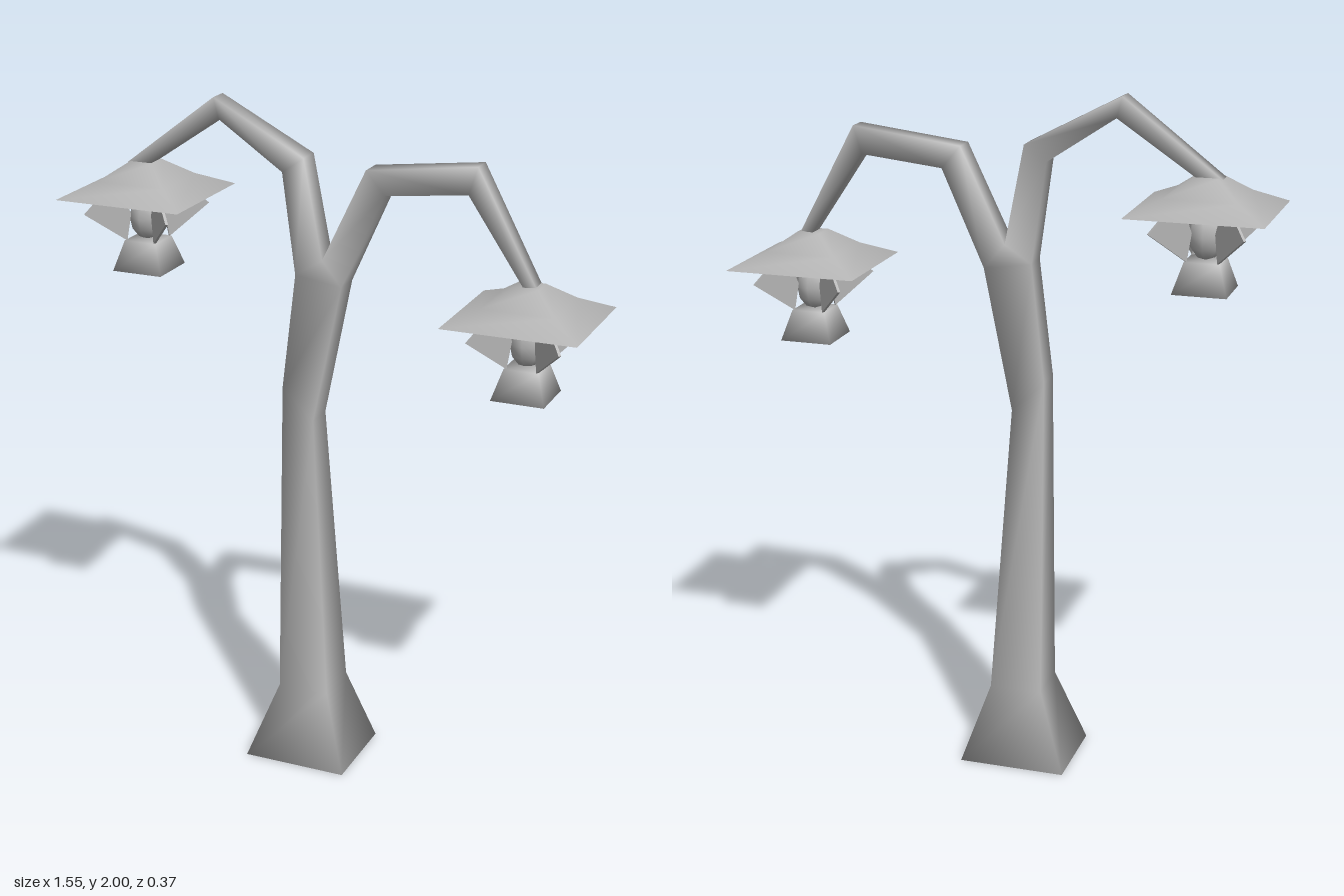
import * as THREE from 'three';

const grey = new THREE.MeshStandardMaterial({ color: 0xb4b4b4, side: THREE.DoubleSide });
grey.name = 'grey metal';

// Collects front/back vertex pairs and skins four-sided sections with shared, smooth vertices.
function skin() {
  const positions = [], index = [];
  const quad = (a, b, c, d) => index.push(a, b, c, a, c, d);
  return {
    index,
    pair(x, y, hz) {
      const i = positions.length / 3;
      positions.push(x, y, hz, x, y, -hz);
      return [i, i + 1];
    },
    ring(xl, yl, xr, yr, hz) {
      return [this.pair(xl, yl, hz), this.pair(xr, yr, hz)];
    },
    join(low, high) {
      const [[a, b], [c, d]] = low, [[e, f], [g, h]] = high;
      quad(a, c, g, e);
      quad(c, d, h, g);
      quad(d, b, f, h);
      quad(b, a, e, f);
    },
    chain(rings) {
      for (let i = 1; i < rings.length; i++) this.join(rings[i - 1], rings[i]);
    },
    capTop([[a, b], [c, d]]) { quad(a, c, d, b); },
    capBottom([[a, b], [c, d]]) { quad(a, b, d, c); },
    geometry() {
      const g = new THREE.BufferGeometry();
      g.setAttribute('position', new THREE.Float32BufferAttribute(positions, 3));
      g.setIndex(index);
      g.computeVertexNormals();
      return g;
    }
  };
}

function mesh(name, geometry) {
  const m = new THREE.Mesh(geometry, grey);
  m.name = name;
  return m;
}

// Flared foot, bent trunk and two bent arms in one continuous skin
function makePost() {
  const s = skin();
  const trunk = [
    s.ring(-0.225, 0, 0.09, 0, 0.135),
    s.ring(-0.14, 0.23, 0.015, 0.23, 0.075),
    s.ring(-0.135, 1.18, -0.04, 1.09, 0.045),
    s.ring(-0.095, 1.52, 0.045, 1.5, 0.04)
  ];
  s.chain(trunk);
  s.capBottom(trunk[0]);

  // fork: one shared crotch between both arms
  const [left, right] = trunk[3];
  const crotch = s.pair(-0.015, 1.57, 0.036);
  s.index.push(left[0], right[0], crotch[0], right[1], left[1], crotch[1]);

  const highArm = [
    [left, crotch],
    s.ring(-0.135, 1.81, -0.07, 1.855, 0.035),
    s.ring(-0.33, 1.94, -0.345, 2.0, 0.03),
    s.ring(-0.56, 1.785, -0.625, 1.788, 0.025)
  ];
  const lowArm = [
    [crotch, right],
    s.ring(0.115, 1.84, 0.17, 1.775, 0.035),
    s.ring(0.435, 1.88, 0.41, 1.8, 0.03),
    s.ring(0.605, 1.565, 0.57, 1.56, 0.025)
  ];
  for (const arm of [highArm, lowArm]) {
    s.chain(arm);
    s.capTop(arm[3]);
  }
  return mesh('post', s.geometry());
}

// Rectangular stack of sections [half width, y, half depth]
function stack(sections, closedBottom) {
  const s = skin();
  const rings = sections.map(([w, y, d]) => s.ring(-w, y, w, y, d));
  s.chain(rings);
  s.capTop(rings[rings.length - 1]);
  if (closedBottom) s.capBottom(rings[0]);
  return s.geometry();
}

// Lantern with its origin at the rim of the hood
function makeLantern(name, x, y) {
  const lantern = new THREE.Group();
  lantern.name = name;
  lantern.position.set(x, y, 0);

  lantern.add(mesh('hood', stack([[0.193, 0, 0.185], [0.105, 0.042, 0.1], [0.035, 0.092, 0.033]], false)));
  lantern.add(mesh('cup', stack([[0.077, -0.225, 0.077], [0.05, -0.138, 0.05]], true)));

  const bulb = mesh('bulb', new THREE.SphereGeometry(0.053, 8, 6));
  bulb.scale.y = 1.3;
  bulb.position.y = -0.07;
  lantern.add(bulb);

  // four diagonal fins between the cup and the hood
  const outline = [[0.045, -0.138], [0.132, -0.05], [0.085, 0.015], [0.055, 0.015], [0.035, -0.06]];
  const shape = new THREE.Shape(outline.map(([r, h]) => new THREE.Vector2(r * Math.SQRT2, h)));
  const finGeometry = new THREE.ExtrudeGeometry(shape, { depth: 0.008, bevelEnabled: false });
  finGeometry.translate(0, 0, -0.004);
  for (let i = 0; i < 4; i++) {
    const fin = mesh('fin', finGeometry);
    fin.rotation.y = Math.PI / 4 + i * Math.PI / 2;
    lantern.add(fin);
  }
  return lantern;
}

export function createModel() {
  const model = new THREE.Group();
  model.name = 'streetLamp';
  model.add(
    makePost(),
    makeLantern('highLantern', -0.58, 1.7),
    makeLantern('lowLantern', 0.58, 1.47)
  );
  return model;
}
